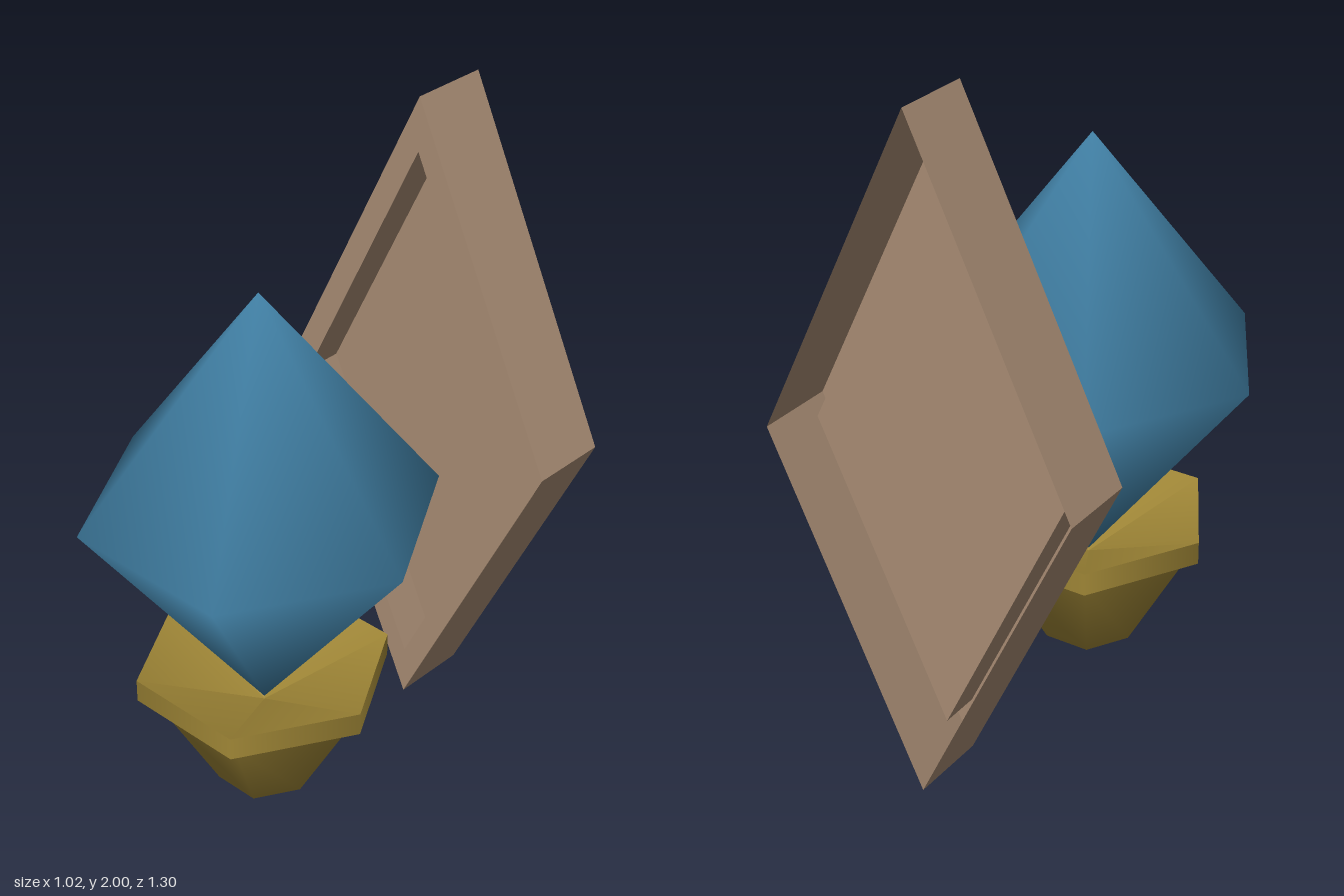
import * as THREE from 'three';

export function createModel() {
  const model = new THREE.Group();
  const blue = new THREE.MeshStandardMaterial({ color: 0x4384aa });
  const gold = new THREE.MeshStandardMaterial({ color: 0x9f8636 });
  const tan = new THREE.MeshStandardMaterial({ color: 0xa78b73, side: THREE.DoubleSide });
  blue.name = 'crystalBlue';
  gold.name = 'oldGold';
  tan.name = 'tan';

  const add = (name, geometry, material, z = 0) => {
    const mesh = new THREE.Mesh(geometry, material);
    mesh.name = name;
    mesh.position.z = z;
    model.add(mesh);
  };
  const profile = (pts) => pts.map(([r, y]) => new THREE.Vector2(r, y));
  const hexLathe = (pts) => new THREE.LatheGeometry(profile(pts), 6, Math.PI / 2);

  // Crystal: smooth-shaded six-sided double pyramid
  const crystal = new THREE.SphereGeometry(1, 6, 2);
  crystal.scale(0.51, 0.66, 0.51);
  crystal.translate(0, 1, 0);
  add('crystal', crystal, blue, 0.205);

  // Holder: tapered cup, collar and hollow seat
  add('cup', hexLathe([[0, 0.02], [0.14, 0.07], [0.33, 0.41]]), gold, 0.205);
  add('collarUnderside', hexLathe([[0.33, 0.41], [0.37, 0.41]]), gold, 0.205);
  add('collarSide', hexLathe([[0.37, 0.41], [0.37, 0.48]]), gold, 0.205);
  add('seat', hexLathe([[0.37, 0.48], [0, 0.33]]), gold, 0.205);

  // Back plate: diamond shell, open at the back, with a recessed front panel
  const plate = new THREE.LatheGeometry(profile([
    [1, -0.65], [1, -0.41], [0.84, -0.41], [0.84, -0.53], [0, -0.53],
  ]), 4).toNonIndexed();
  plate.rotateX(Math.PI / 2);
  plate.scale(0.48, 1, 1);
  plate.translate(0, 1, 0);
  plate.computeVertexNormals();
  add('backPlate', plate, tan);

  return model;
}
